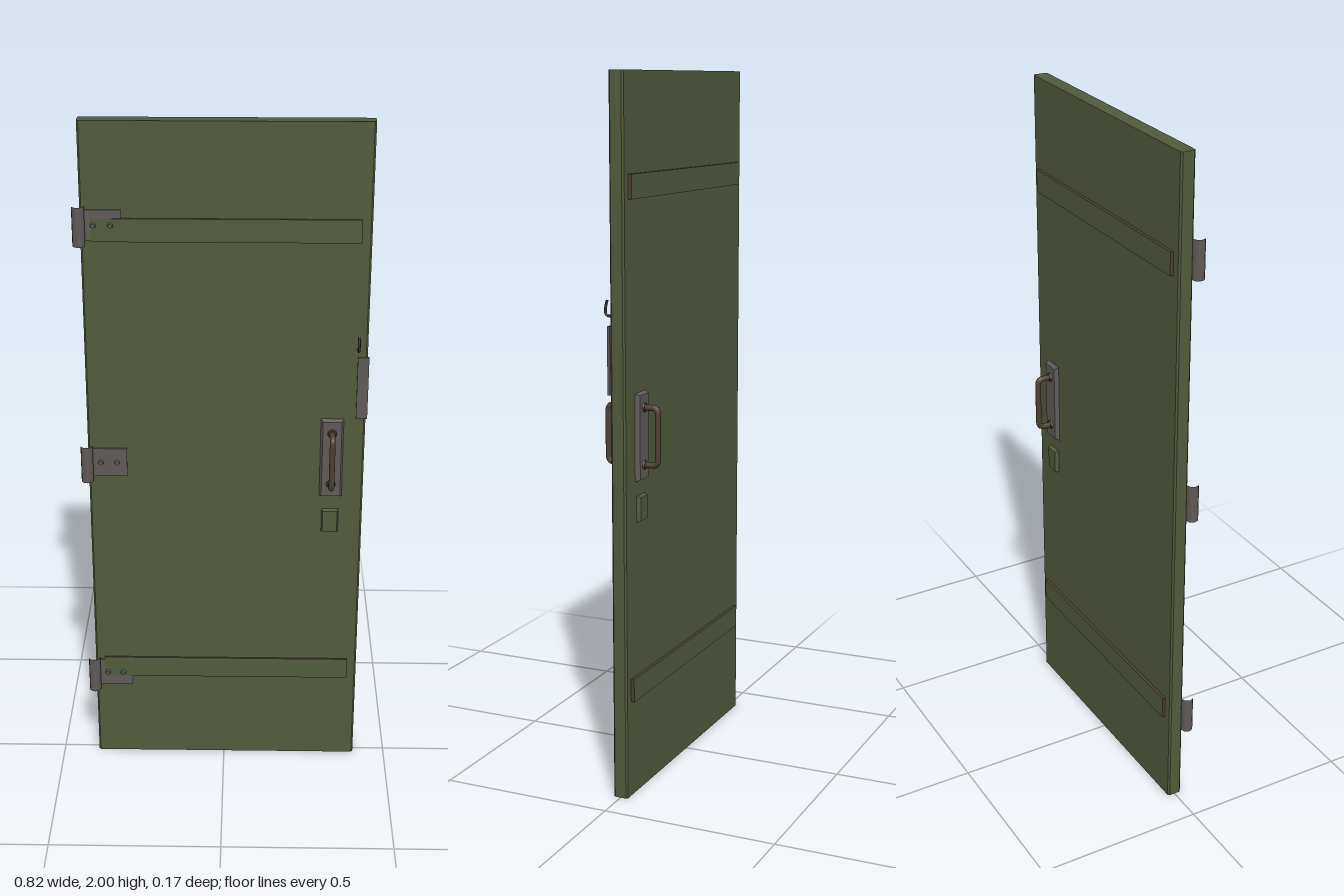
import * as THREE from 'three';

export function createModel() {
  const door = new THREE.Group();
  door.name = 'door';
  const mat = (name, color) => {
    const m = new THREE.MeshStandardMaterial({ color });
    m.name = name;
    return m;
  };
  const green = mat('olive paint', 0x515a3b);
  const steel = mat('worn steel', 0x5f5a57);
  const brown = mat('dark bronze', 0x4d4034);
  const black = mat('black iron', 0x2b2a28);

  const add = (name, geometry, material, x = 0, y = 0, z = 0, parent = door) => {
    const mesh = new THREE.Mesh(geometry, material);
    mesh.name = name;
    mesh.position.set(x, y, z);
    parent.add(mesh);
    return mesh;
  };
  // Box given by its limits
  const block = (name, material, x0, x1, y0, y1, z0, z1, parent) =>
    add(name, new THREE.BoxGeometry(x1 - x0, y1 - y0, z1 - z0), material,
      (x0 + x1) / 2, (y0 + y1) / 2, (z0 + z1) / 2, parent);
  // Plate with chamfered front edges, its back on z = 0
  const chamferedPlate = (w, h, depth, c) => {
    const g = new THREE.BoxGeometry(w, h, depth).toNonIndexed();
    const p = g.attributes.position;
    for (let i = 0; i < p.count; i++) {
      if (p.getZ(i) > 0) {
        p.setX(i, p.getX(i) - Math.sign(p.getX(i)) * c);
        p.setY(i, p.getY(i) - Math.sign(p.getY(i)) * c);
      }
    }
    g.translate(0, 0, depth / 2);
    g.computeVertexNormals();
    return g;
  };

  // Door leaf with chamfered vertical edges
  const L = -0.392, R = 0.404, T = 0.0215, C = 0.005;
  const outline = new THREE.Shape([
    [L + C, -T], [R - C, -T], [R, -T + C], [R, T - C],
    [R - C, T], [L + C, T], [L, T - C], [L, -T + C],
  ].map(([x, y]) => new THREE.Vector2(x, y)));
  const leaf = new THREE.ExtrudeGeometry(outline, { depth: 2, bevelEnabled: false });
  leaf.rotateX(-Math.PI / 2);
  add('doorLeaf', leaf, green);

  // Cross battens, pull handles and lock covers on both faces
  const edges = [brown, brown, brown, brown, green, green];
  for (const [side, s, out] of [['front', 1, 0.027], ['back', -1, 0.031]]) {
    for (const [level, y] of [['Upper', 1.7], ['Lower', 0.31]]) {
      add(side + level + 'Batten', new THREE.BoxGeometry(0.74, 0.066, out - 0.02), edges,
        0.006, y, s * (out + 0.02) / 2);
    }
    const fittings = new THREE.Group();
    fittings.name = side + 'Fittings';
    fittings.position.x = 0.31;
    if (s < 0) fittings.rotation.y = Math.PI;
    door.add(fittings);
    add('handlePlate', chamferedPlate(0.066, 0.246, 0.013, 0.006), steel, 0, 1.021, 0.021, fittings);
    add('lockCover', chamferedPlate(0.05, 0.074, 0.012, 0.004), green, 0, 0.82, 0.021, fittings);
    const v = (y, z) => new THREE.Vector3(0, y, z);
    const path = new THREE.CurvePath();
    path.add(new THREE.LineCurve3(v(0.942, 0.03), v(0.942, 0.06)));
    path.add(new THREE.QuadraticBezierCurve3(v(0.942, 0.06), v(0.943, 0.075), v(0.96, 0.075)));
    path.add(new THREE.LineCurve3(v(0.96, 0.075), v(1.084, 0.075)));
    path.add(new THREE.QuadraticBezierCurve3(v(1.084, 0.075), v(1.102, 0.075), v(1.102, 0.06)));
    path.add(new THREE.LineCurve3(v(1.102, 0.06), v(1.102, 0.03)));
    add('pullHandle', new THREE.TubeGeometry(path, 48, 0.0085, 10), brown, 0, 0, 0, fittings);
    for (const y of [0.942, 1.102]) {
      const foot = add('handleFoot', new THREE.CylinderGeometry(0.012, 0.014, 0.006, 12), brown, 0, y, 0.036, fittings);
      foot.rotation.x = Math.PI / 2;
    }
  }

  // Hinges: leaf, open barrel and two screws
  for (const [level, y] of [['upper', 1.714], ['middle', 1.003], ['lower', 0.29]]) {
    const hinge = new THREE.Group();
    hinge.name = level + 'Hinge';
    hinge.position.y = y;
    door.add(hinge);
    block('hingeLeaf', steel, -0.392, -0.28, -0.043, 0.043, 0.02, 0.0265, hinge);
    add('hingeBarrel', new THREE.CylinderGeometry(0.0175, 0.0175, 0.112, 12, 1, true), steel,
      -0.395, 0, 0.034, hinge);
    for (const x of [-0.356, -0.309]) {
      const screw = add('hingeScrew', new THREE.CylinderGeometry(0.006, 0.008, 0.008, 10), steel, x, 0, 0.031, hinge);
      screw.rotation.x = Math.PI / 2;
    }
  }

  // Latch strip on the opening edge
  block('latchStrip', steel, 0.376, 0.408, 1.147, 1.333, 0.02, 0.028);

  // Small hook above the latch strip
  const hook = new THREE.CatmullRomCurve3([
    [1.357, 0.018], [1.356, 0.035], [1.361, 0.046], [1.378, 0.047], [1.4, 0.042],
  ].map(([y, z]) => new THREE.Vector3(0.377, y, z)));
  add('latchHook', new THREE.TubeGeometry(hook, 16, 0.004, 8), black);

  return door;
}
